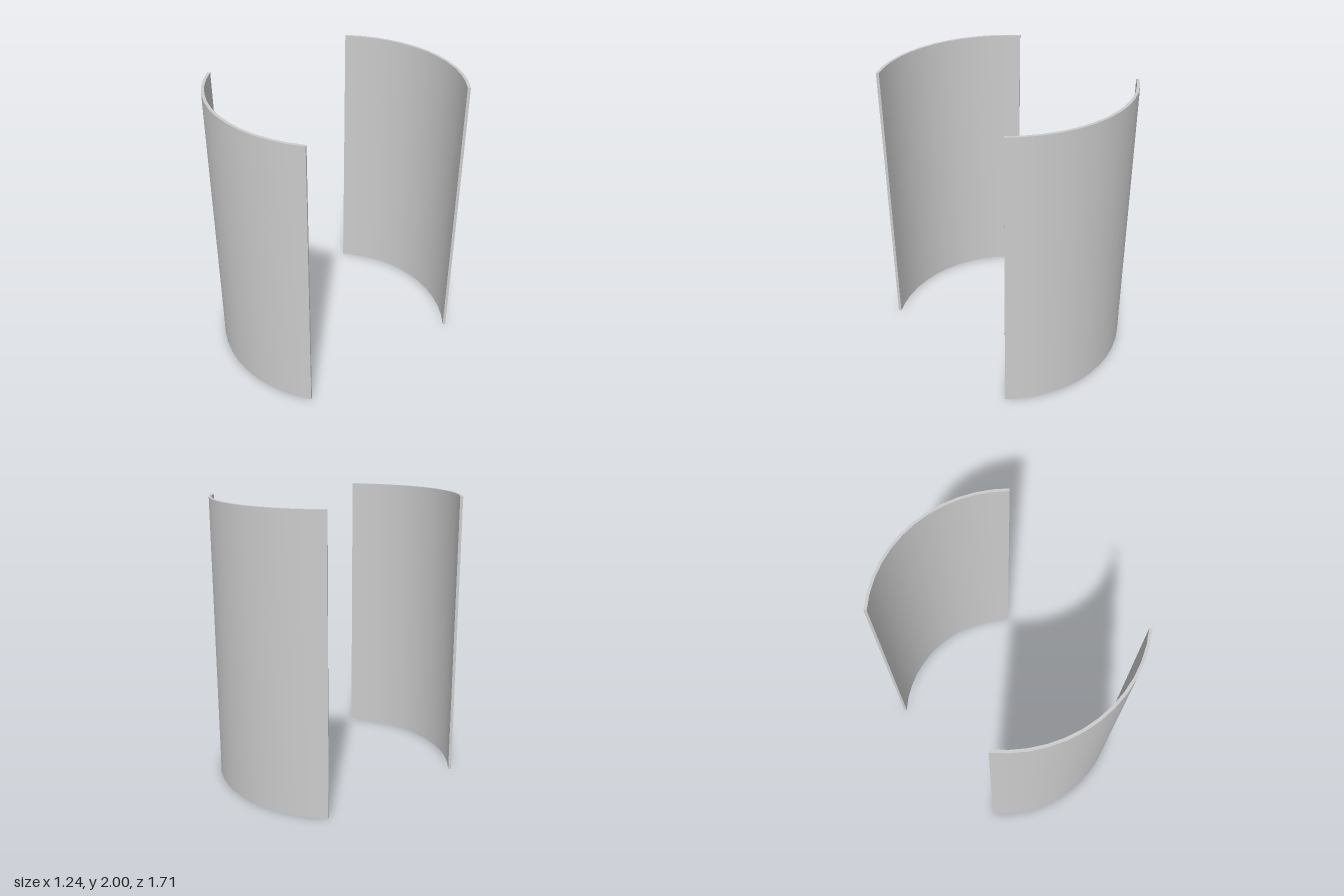
import * as THREE from 'three';
import { toCreasedNormals } from 'three/addons/utils/BufferGeometryUtils.js';

const HEIGHT = 2;
const THICKNESS = 0.02;
const rad = THREE.MathUtils.degToRad;

// Upright curved panel: a ring sector in plan, extruded upward.
// Angles are in degrees, counter-clockwise from +x as seen from above.
function curvedPanel(name, cx, cz, radius, startDeg, endDeg, material) {
  const a = rad(startDeg), b = rad(endDeg);
  const shape = new THREE.Shape();
  shape.absarc(cx, -cz, radius + THICKNESS / 2, a, b, false);
  shape.absarc(cx, -cz, radius - THICKNESS / 2, b, a, true);
  shape.closePath();

  // Arcs are sampled at twice curveSegments: 12 facets per panel
  const geometry = new THREE.ExtrudeGeometry(shape, { depth: HEIGHT, bevelEnabled: false, curveSegments: 6 });
  geometry.rotateX(-Math.PI / 2);

  const mesh = new THREE.Mesh(toCreasedNormals(geometry, rad(30)), material);
  mesh.name = name;
  return mesh;
}

export function createModel() {
  const group = new THREE.Group();
  group.name = 'curvedPanels';
  const material = new THREE.MeshStandardMaterial({ color: 0xcccccc });

  // Two shells bowing outward, each slightly turned off the axis
  group.add(curvedPanel('frontPanel', 0.034, -0.036, 0.881, -137.3, -50.4, material));
  group.add(curvedPanel('backPanel', 0.034, 0.027, 0.872, 48.5, 136.1, material));
  return group;
}
